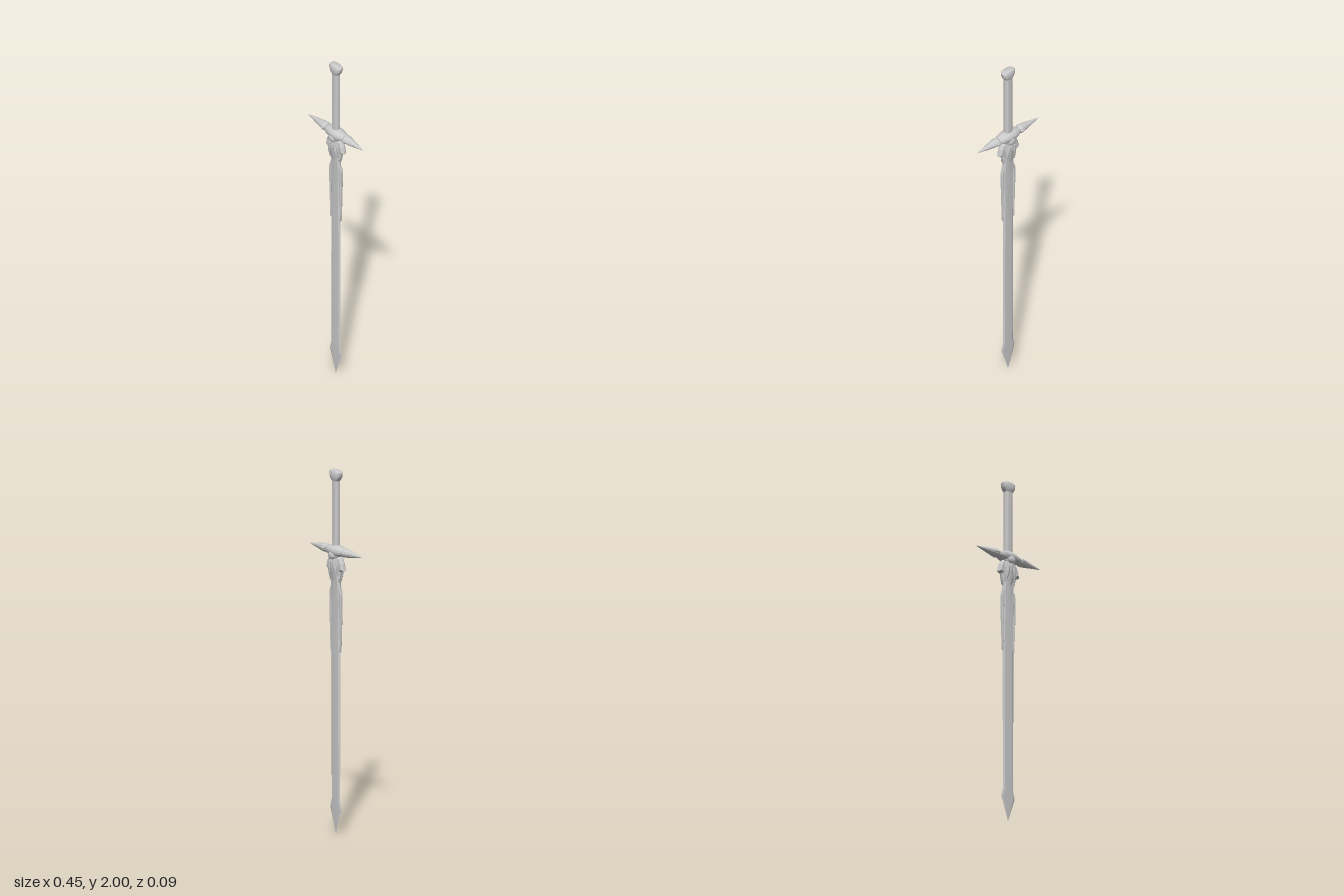
import * as THREE from 'three';
import { toCreasedNormals } from 'three/addons/utils/BufferGeometryUtils.js';

const material = new THREE.MeshStandardMaterial({ color: 0xcccccc });

// Unit outlines: flat-faced blade with bevelled edges, and a rounded section
const bladeRing = [[1, 0], [0.72, 0.85], [0, 1], [-0.72, 0.85], [-1, 0], [-0.72, -0.85], [0, -1], [0.72, -0.85]];
const roundRing = (n, power = 1) => Array.from({ length: n }, (_, i) => {
  const a = (i / n) * Math.PI * 2, c = Math.cos(a), s = Math.sin(a);
  return [Math.sign(c) * Math.abs(c) ** power, Math.sign(s) * Math.abs(s) ** power];
});

// Skins sections [y, halfWidth, halfDepth], listed upwards, and caps both ends
function loft(ring, sections, crease = 0.6) {
  const n = ring.length, pos = [], index = [];
  for (const [y, hx, hz] of sections) for (const [x, z] of ring) pos.push(x * hx, y, z * hz);
  for (let s = 0; s < sections.length - 1; s++) {
    for (let i = 0; i < n; i++) {
      const a = s * n + i, b = s * n + (i + 1) % n;
      index.push(a, a + n, b, b, a + n, b + n);
    }
  }
  const last = (sections.length - 1) * n;
  for (let i = 1; i < n - 1; i++) {
    index.push(0, i, i + 1, last, last + i + 1, last + i);
  }
  const g = new THREE.BufferGeometry();
  g.setAttribute('position', new THREE.Float32BufferAttribute(pos, 3));
  g.setIndex(index);
  return toCreasedNormals(g, crease);
}

// Bevelled plate centred on z = 0
function plate(points, thickness, bevel) {
  const shape = new THREE.Shape(points.map(([x, y]) => new THREE.Vector2(x, y)));
  const g = new THREE.ExtrudeGeometry(shape, {
    depth: thickness - 2 * bevel, bevelEnabled: true, bevelThickness: bevel,
    bevelSize: bevel, bevelOffset: -bevel, bevelSegments: 1,
  });
  return g.translate(0, 0, bevel - thickness / 2);
}

export function createModel() {
  const sword = new THREE.Group();
  sword.name = 'sword';
  const add = (name, geometry, parent = sword) => {
    const mesh = new THREE.Mesh(geometry, material);
    mesh.name = name;
    parent.add(mesh);
    return mesh;
  };

  // Long blade with a flared spear-like point
  add('blade', loft(bladeRing, [
    [0, 0.0005, 0.0005], [0.14, 0.049, 0.005], [0.185, 0.037, 0.006], [0.6, 0.038, 0.007],
    [1.0, 0.038, 0.009], [1.3, 0.04, 0.012], [1.36, 0.038, 0.015], [1.43, 0.034, 0.02],
  ], 0.12));

  // Collar where the blade meets the guard
  add('collar', loft(roundRing(16), [
    [1.37, 0.012, 0.014], [1.41, 0.028, 0.021], [1.45, 0.042, 0.028],
    [1.49, 0.05, 0.03], [1.53, 0.036, 0.029], [1.55, 0.032, 0.026],
  ]));

  // Guard hub: oval block, swollen in the middle
  const across = (mesh, side) => { mesh.rotation.z = -side * Math.PI / 2; return mesh; };
  across(add('guardHub', loft(roundRing(16), [
    [-0.088, 0.014, 0.018], [-0.072, 0.019, 0.025], [-0.05, 0.025, 0.034], [-0.022, 0.032, 0.039],
    [0.022, 0.032, 0.039], [0.05, 0.025, 0.034], [0.072, 0.019, 0.025], [0.088, 0.014, 0.018],
  ])), 1).position.y = 1.558;

  // Shallow skirt from the hub down to the collar
  add('hubSkirt', loft(roundRing(12), [
    [1.505, 0.022, 0.03], [1.525, 0.038, 0.034], [1.55, 0.056, 0.033], [1.575, 0.045, 0.026], [1.588, 0.028, 0.02],
  ]));

  for (const side of [1, -1]) {
    const label = side > 0 ? 'left' : 'right';

    // Pointed quillon with a faceted collar at its root
    across(add(label + 'Quillon', loft(roundRing(12), [
      [0.07, 0.015, 0.02], [0.086, 0.025, 0.028], [0.12, 0.021, 0.022],
      [0.16, 0.014, 0.014], [0.225, 0.002, 0.002],
    ], 0.35)), side).position.y = 1.558;

    // Slim fins along the top and bottom, front and back of the quillon
    const fin = plate([[0.07, -0.02], [0.086, -0.03], [0.2, -0.004], [0.2, 0.004], [0.086, 0.03], [0.07, 0.02]], 0.008, 0.002);
    const fins = new THREE.Group();
    fins.name = label + 'QuillonFins';
    fins.position.y = 1.558;
    fins.rotation.y = side > 0 ? 0 : Math.PI;
    add('flatFin', fin, fins).rotation.x = Math.PI / 2;
    sword.add(fins);

    // Swept wing hanging beside the collar
    const wing = [[0.028, 1.535], [0.05, 1.525], [0.066, 1.495], [0.075, 1.455], [0.052, 1.447],
      [0.045, 1.415], [0.036, 1.385], [0.022, 1.43]];
    const wingMesh = add(label + 'Wing', plate(wing, 0.034, 0.011));
    wingMesh.rotation.y = side > 0 ? 0 : Math.PI;

    // Raised cutting-edge strip on the upper blade
    const strip = [[0.03, 1.355], [0.041, 1.36], [0.05, 1.32], [0.048, 1.2], [0.042, 1.04], [0.038, 1.0],
      [0.036, 1.05], [0.034, 1.2]];
    const stripMesh = add(label + 'EdgeStrip', plate(strip, 0.018, 0.003));
    stripMesh.rotation.y = side > 0 ? 0 : Math.PI;

    // Claws on both faces of the collar
    for (const face of [1, -1]) {
      const claw = add(label + (face > 0 ? 'Front' : 'Back') + 'Claw', loft(roundRing(8), [
        [-0.065, 0.001, 0.002], [-0.03, 0.008, 0.007], [0.01, 0.012, 0.01], [0.04, 0.006, 0.005],
      ]));
      claw.position.set(side * 0.023, 1.465, face * 0.025);
      claw.rotation.set(face * 0.12, 0, side * 0.12);
    }
  }

  // Central boss and drop on both faces
  for (const face of [1, -1]) {
    const label = face > 0 ? 'front' : 'back';
    const boss = add(label + 'Boss', new THREE.SphereGeometry(1, 14, 10));
    boss.scale.set(0.026, 0.022, 0.012);
    boss.position.set(0, 1.535, face * 0.031);
    const drop = add(label + 'Drop', loft(roundRing(8), [
      [-0.05, 0.001, 0.001], [-0.015, 0.009, 0.007], [0.02, 0.011, 0.009], [0.045, 0.005, 0.004],
    ]));
    drop.position.set(0, 1.475, face * 0.026);
    drop.rotation.x = face * 0.12;
  }

  // Oval grip and flared pommel
  add('grip', loft(roundRing(20, 0.8), [[1.57, 0.024, 0.019], [1.96, 0.024, 0.019]]));
  add('pommel', loft(roundRing(20, 0.75), [
    [1.942, 0.024, 0.019], [1.955, 0.034, 0.024], [1.97, 0.042, 0.025],
    [1.988, 0.044, 0.025], [1.997, 0.038, 0.021], [2.0, 0.03, 0.016],
  ]));

  // Whole sword sits a hair behind centre
  sword.position.z = -0.003;
  return sword;
}
